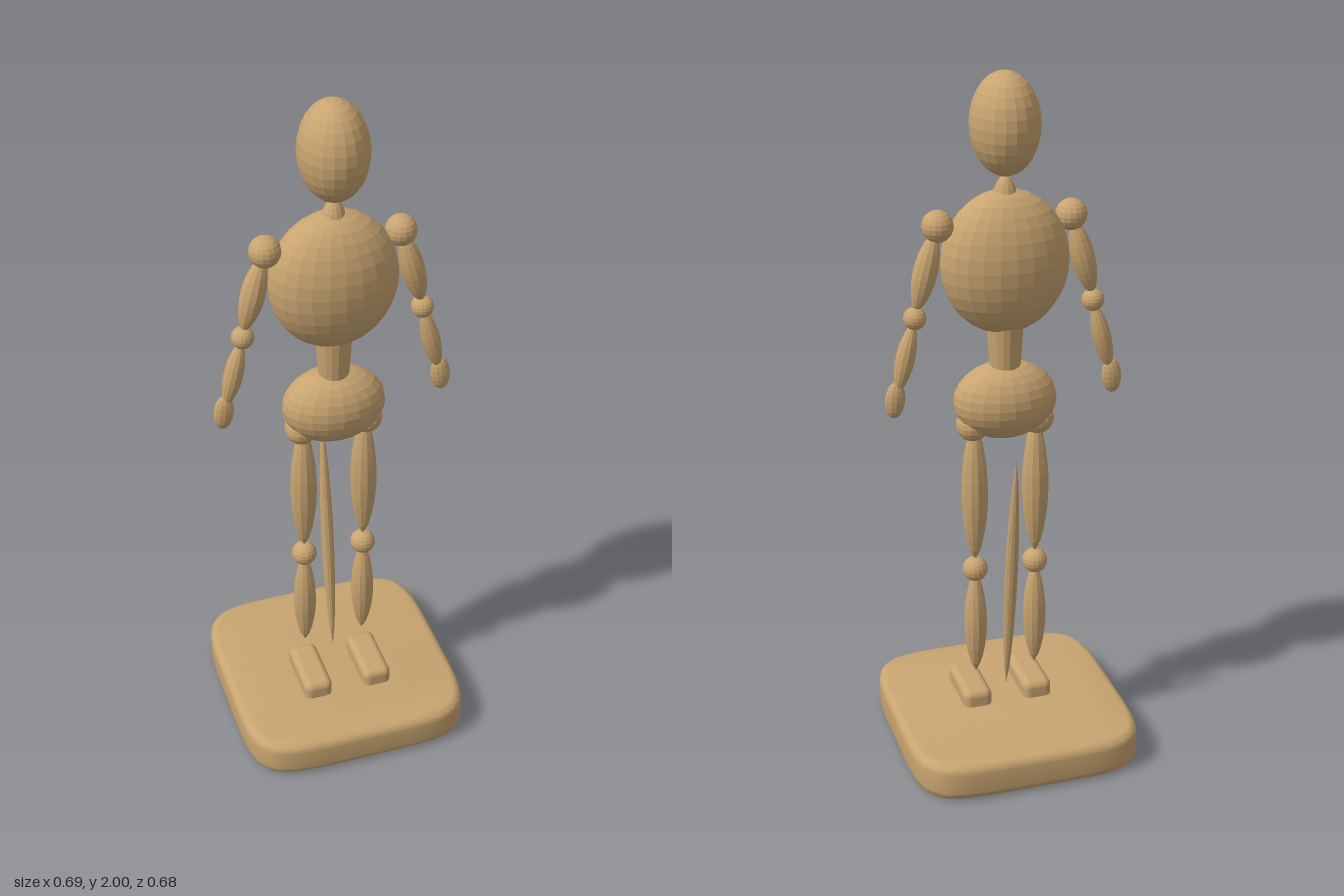
import * as THREE from 'three';
import { toCreasedNormals } from 'three/addons/utils/BufferGeometryUtils.js';
import { RoundedBoxGeometry } from 'three/addons/geometries/RoundedBoxGeometry.js';

const wood = new THREE.MeshStandardMaterial({ color: 0xc8a470 });
const UP = new THREE.Vector3(0, 1, 0);

// Facet a geometry: every triangle keeps its own normal
function faceted(geometry) {
  const flat = geometry.toNonIndexed();
  flat.computeVertexNormals();
  return flat;
}

function add(parent, name, geometry) {
  const mesh = new THREE.Mesh(geometry, wood);
  mesh.name = name;
  parent.add(mesh);
  return mesh;
}

function ellipsoid(parent, name, [x, y, z], [rx, ry, rz], sides = 20, rings = 14) {
  const geometry = new THREE.SphereGeometry(1, sides, rings).scale(rx, ry, rz);
  const mesh = add(parent, name, faceted(geometry));
  mesh.position.set(x, y, z);
  return mesh;
}

const ball = (parent, name, at, r) => ellipsoid(parent, name, at, [r, r, r], 16, 10);

// Turned limb, pointed at both ends, running from one point to another
function spindle(parent, name, from, to, radius) {
  const a = new THREE.Vector3(...from), b = new THREE.Vector3(...to);
  const axis = b.clone().sub(a), length = axis.length(), steps = 12;
  const profile = [];
  for (let i = 0; i <= steps; i++) {
    const t = i / steps;
    const r = i % steps ? radius * Math.sin(Math.PI * t) ** 0.65 : 0;
    profile.push(new THREE.Vector2(r, (t - 0.5) * length));
  }
  const mesh = add(parent, name, faceted(new THREE.LatheGeometry(profile, 12)));
  mesh.position.copy(a).add(b).multiplyScalar(0.5);
  mesh.quaternion.setFromUnitVectors(UP, axis.normalize());
  return mesh;
}

// Soft-cornered square slab
function slab(half, height, bevel) {
  const points = [], count = 96, power = 2 / 5.2;
  for (let i = 0; i < count; i++) {
    const a = (i / count) * Math.PI * 2, c = Math.cos(a), s = Math.sin(a);
    points.push(new THREE.Vector2(
      half * Math.sign(c) * Math.abs(c) ** power,
      half * Math.sign(s) * Math.abs(s) ** power));
  }
  const geometry = new THREE.ExtrudeGeometry(new THREE.Shape(points), {
    depth: height - 2 * bevel, bevelEnabled: true, bevelSize: bevel,
    bevelThickness: bevel, bevelOffset: -bevel, bevelSegments: 5,
  });
  geometry.translate(0, 0, bevel).rotateX(-Math.PI / 2);
  return toCreasedNormals(geometry, 0.7);
}

export function createModel() {
  const model = new THREE.Group();
  model.name = 'jointedFigure';

  // Stand
  add(model, 'base', slab(0.34, 0.115, 0.028));
  spindle(model, 'supportRod', [0, 0.16, -0.008], [0, 0.93, -0.11], 0.019);

  // Trunk and head
  ellipsoid(model, 'head', [0, 1.86, 0], [0.095, 0.14, 0.107]);
  spindle(model, 'neck', [0, 1.58, 0], [0, 1.725, 0], 0.035);
  ellipsoid(model, 'chest', [0, 1.482, 0], [0.18, 0.202, 0.117], 24, 16);
  const waist = add(model, 'waist', faceted(new THREE.CylinderGeometry(0.052, 0.042, 0.17, 16)));
  waist.position.y = 1.235;
  ellipsoid(model, 'pelvis', [0, 1.079, 0], [0.148, 0.112, 0.1]);

  for (const [side, s] of [['left', 1], ['right', -1]]) {
    // Arm
    const arm = new THREE.Group();
    arm.name = side + 'Arm';
    ball(arm, 'shoulder', [s * 0.187, 1.597, 0], 0.044);
    spindle(arm, 'upperArm', [s * 0.193, 1.585, 0], [s * 0.252, 1.36, 0], 0.034);
    ball(arm, 'elbow', [s * 0.254, 1.345, 0], 0.032);
    spindle(arm, 'forearm', [s * 0.257, 1.335, 0], [s * 0.308, 1.13, 0], 0.027);
    const hand = ellipsoid(arm, 'hand', [s * 0.314, 1.113, 0], [0.029, 0.053, 0.02], 12, 10);
    hand.rotation.z = s * 0.1;

    // Leg
    const leg = new THREE.Group();
    leg.name = side + 'Leg';
    ball(leg, 'hip', [s * 0.095, 1.012, 0], 0.047);
    spindle(leg, 'thigh', [s * 0.09, 0.585, 0], [s * 0.09, 1.02, 0], 0.039);
    ball(leg, 'knee', [s * 0.09, 0.558, 0], 0.037);
    spindle(leg, 'shin', [s * 0.09, 0.217, 0], [s * 0.09, 0.55, 0], 0.034);
    const foot = add(leg, 'foot', new RoundedBoxGeometry(0.086, 0.07, 0.194, 4, 0.022));
    foot.position.set(s * 0.092, 0.13, 0.057);

    model.add(arm, leg);
  }
  return model;
}
